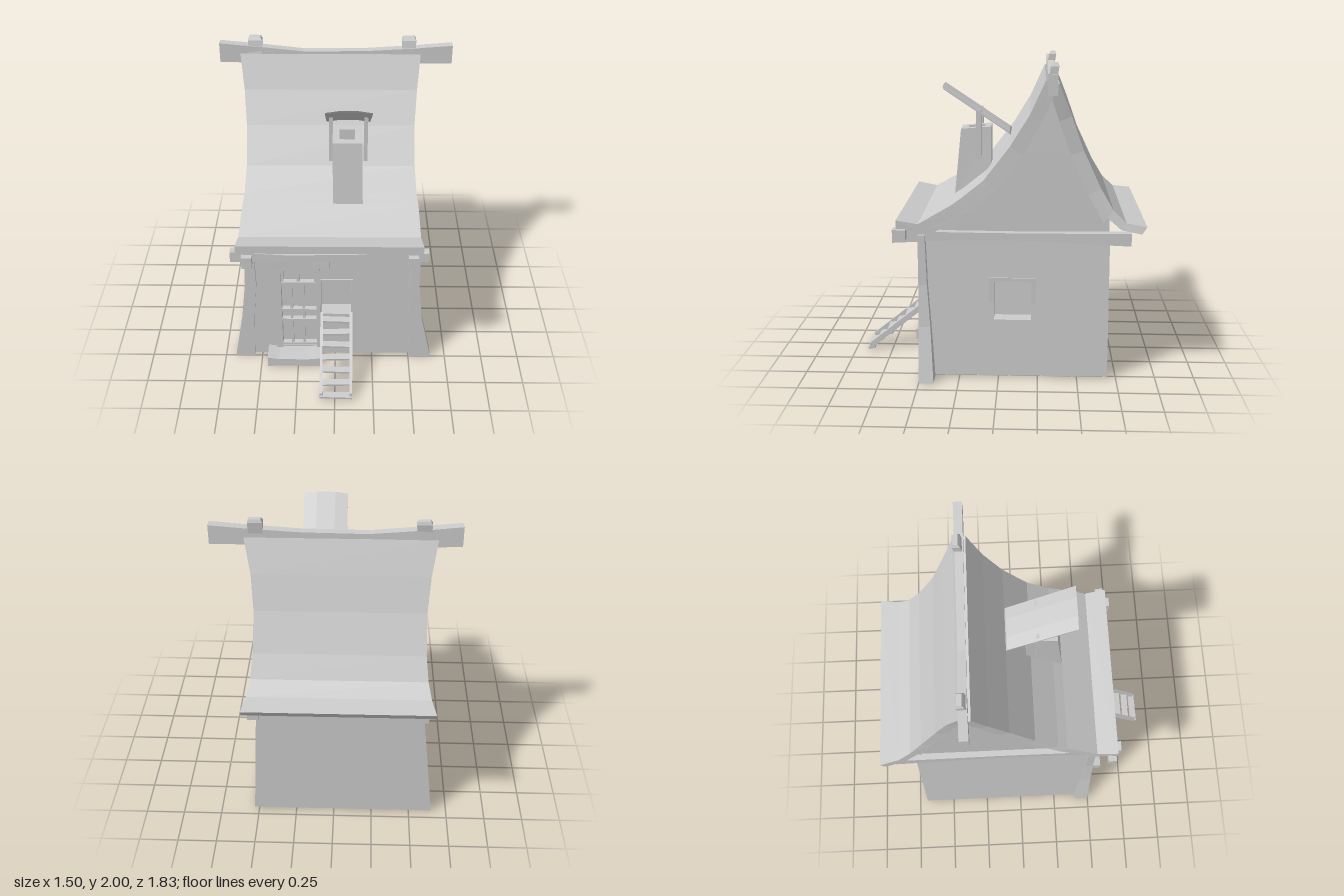
import * as THREE from 'three';

const grey = new THREE.MeshStandardMaterial({ color: 0xcccccc, flatShading: true });
const thin = new THREE.MeshStandardMaterial({ color: 0xcccccc, flatShading: true, side: THREE.DoubleSide });

export function createModel() {
  const model = new THREE.Group();

  function add(name, geometry, material = grey) {
    const mesh = new THREE.Mesh(geometry, material);
    mesh.name = name;
    model.add(mesh);
    return mesh;
  }

  // Closed solid through four-cornered cross-sections, turned outward by its signed volume
  function loft(sections) {
    const tris = [];
    const quad = (a, b, c, d) => tris.push([a, b, c], [a, c, d]);
    for (let i = 0; i < sections.length - 1; i++) {
      const s = sections[i], t = sections[i + 1];
      for (let j = 0; j < 4; j++) {
        const k = (j + 1) % 4;
        quad(s[j], s[k], t[k], t[j]);
      }
    }
    const first = sections[0], last = sections[sections.length - 1];
    quad(first[3], first[2], first[1], first[0]);
    quad(...last);
    let volume = 0;
    for (const [a, b, c] of tris) {
      volume += new THREE.Vector3(...a).dot(new THREE.Vector3(...b).cross(new THREE.Vector3(...c)));
    }
    const points = tris.flatMap(([a, b, c]) => (volume < 0 ? [a, c, b] : [a, b, c])).flat();
    const geometry = new THREE.BufferGeometry();
    geometry.setAttribute('position', new THREE.Float32BufferAttribute(points, 3));
    geometry.computeVertexNormals();
    return geometry;
  }

  // Beam along an axis; stations: [along, a, b, halfA, halfB], a and b being the other axes in xyz order
  function beam(name, axis, stations) {
    const place = { x: (t, a, b) => [t, a, b], y: (t, a, b) => [a, t, b], z: (t, a, b) => [a, b, t] }[axis];
    return add(name, loft(stations.map(([t, a, b, ha, hb]) => [
      place(t, a - ha, b - hb), place(t, a + ha, b - hb),
      place(t, a + ha, b + hb), place(t, a - ha, b + hb)])));
  }

  // Box from its minimum and maximum corners
  function boxGeometry(x0, x1, y0, y1, z0, z1) {
    const g = new THREE.BoxGeometry(x1 - x0, y1 - y0, z1 - z0);
    return g.translate((x0 + x1) / 2, (y0 + y1) / 2, (z0 + z1) / 2);
  }
  const box = (name, ...corners) => add(name, boxGeometry(...corners));

  // Niche behind an opening: a box without its outer face (0 is +x, 4 is +z)
  function niche(openFace, ...corners) {
    const g = boxGeometry(...corners);
    g.setIndex([...g.index.array].filter((_, i) => Math.floor(i / 6) !== openFace));
    g.clearGroups();
    return g;
  }

  function wallShape(corners, holes) {
    const shape = new THREE.Shape(corners.map(p => new THREE.Vector2(...p)));
    for (const [x0, x1, y0, y1] of holes) {
      shape.holes.push(new THREE.Path([[x0, y0], [x0, y1], [x1, y1], [x1, y0]].map(p => new THREE.Vector2(...p))));
    }
    return new THREE.ShapeGeometry(shape);
  }

  // House walls: slightly flared toward the ground
  const top = 0.92, front = 0.48, back = -0.695;
  const leftX = y => 0.53 - 0.055 * y;
  function leanOnWall(geometry) {
    const p = geometry.attributes.position;
    for (let i = 0; i < p.count; i++) p.setX(i, p.getX(i) + leftX(p.getY(i)));
    return geometry;
  }
  const door = [-0.355, -0.125, 0.08, 0.735], hatch = [-0.09, 0.105, 0.36, 0.645], side = [-0.03, 0.205, 0.38, 0.63];
  add('frontWall', wallShape([[-0.65, 0.01], [0.53, 0.01], [leftX(top), top], [-0.555, top]], [door, hatch])
    .translate(0, 0, front), thin);
  add('windowWall', leanOnWall(wallShape([[-front, 0.01], [-back, 0.01], [-back, top], [-front, top]], [side])
    .rotateY(Math.PI / 2)), thin);
  const A = [-0.65, 0.01, front], B = [0.53, 0.01, front], C = [0.53, 0.01, back], D = [-0.65, 0.01, back];
  const E = [-0.555, top, front], F = [leftX(top), top, back], G = [-0.555, top, back];
  const plain = new THREE.BufferGeometry();
  plain.setAttribute('position', new THREE.Float32BufferAttribute(
    [[D, A, E], [D, E, G], [C, D, G], [C, G, F], [A, D, C], [A, C, B]].flat(2), 3));
  plain.computeVertexNormals();
  add('plainWallsAndFloor', plain, thin);

  // Openings
  add('doorRecess', niche(4, ...door, front - 0.04, front), thin);
  add('hatchRecess', niche(4, ...hatch, front - 0.1, front), thin);
  add('windowRecess', leanOnWall(niche(0, -0.1, 0, 0.38, 0.63, -0.205, 0.03)), thin);

  // Roof stations: [outer z, outer y, inner z, inner y, x min, x max]
  const frontSlope = [
    [0.635, 1.035, 0.635, 0.98, -0.62, 0.55], [0.5, 1.01, 0.49, 0.955, -0.61, 0.54],
    [0.3, 1.125, 0.27, 1.07, -0.595, 0.53], [0.24, 1.165, 0.2, 1.115, -0.585, 0.52],
    [0.09, 1.285, 0.045, 1.245, -0.578, 0.512], [-0.07, 1.495, -0.115, 1.46, -0.58, 0.51],
    [-0.19, 1.69, -0.235, 1.665, -0.595, 0.525], [-0.285, 1.9, -0.325, 1.875, -0.62, 0.545]];
  const backSlope = [
    [-0.365, 1.88, -0.325, 1.87, -0.61, 0.54], [-0.445, 1.68, -0.4, 1.66, -0.575, 0.5],
    [-0.52, 1.47, -0.475, 1.45, -0.557, 0.485], [-0.63, 1.235, -0.585, 1.21, -0.56, 0.49],
    [-0.71, 1.1, -0.675, 1.05, -0.575, 0.505], [-0.79, 1.025, -0.76, 0.98, -0.595, 0.525],
    [-0.915, 1.008, -0.885, 0.96, -0.62, 0.55]];
  const slab = stations => loft(stations.map(([zo, yo, zi, yi, x0, x1]) =>
    [[x0, yo, zo], [x1, yo, zo], [x1, yi, zi], [x0, yi, zi]]));
  add('frontRoof', slab(frontSlope));
  add('backRoof', slab(backSlope));

  // Curved rafters under both roof edges
  for (const slope of [frontSlope.slice(1), backSlope.slice(0, 5)]) {
    for (const onLeft of [true, false]) {
      add('edgeRafter', slab(slope.map(([zo, yo, zi, yi, x0, x1]) => {
        const x = onLeft ? x1 - 0.04 : x0 + 0.01;
        return [zi, yi, zi + (zi - zo) * 0.7, yi + (yi - yo) * 0.7, x, x + 0.03];
      })));
    }
  }

  // Gable block under the roof
  const inner = [...frontSlope.slice(1), ...backSlope.slice(1, 5)].map(s => [-s[2], s[3]]);
  const gable = new THREE.Shape([[-front, 0.9], ...inner, [0.69, 1.03], [0.69, 0.9]].map(p => new THREE.Vector2(...p)));
  add('gable', new THREE.ExtrudeGeometry(gable, { depth: 1.005, bevelEnabled: false })
    .rotateY(Math.PI / 2).translate(-0.54, 0, 0));

  // Ridge beam, pegs and eave beams
  beam('ridgeBeam', 'x', [[-0.755, 1.9, -0.325, 0.066, 0.028], [-0.5, 1.885, -0.33, 0.055, 0.027],
    [-0.2, 1.865, -0.325, 0.045, 0.025], [0.2, 1.87, -0.325, 0.045, 0.025],
    [0.5, 1.882, -0.325, 0.052, 0.027], [0.75, 1.893, -0.325, 0.062, 0.028]]);
  for (const x of [-0.525, 0.47]) {
    beam('ridgePeg', 'y', [[1.8, x, -0.31, 0.04, 0.025], [1.98, x, -0.339, 0.045, 0.025], [2, x, -0.343, 0.035, 0.015]]);
  }
  beam('frontEaveBeam', 'x', [[-0.655, 0.945, 0.6, 0.037, 0.027], [-0.3, 0.938, 0.605, 0.026, 0.025],
    [0.1, 0.945, 0.605, 0.025, 0.025], [0.585, 0.948, 0.6, 0.033, 0.027]]);
  for (const x of [-0.55, 0.488]) {
    beam('sideBeam', 'z', [[0.665, x, 0.925, 0.032, 0.042], [0.3, x, 0.928, 0.03, 0.026],
      [-0.1, x, 0.928, 0.028, 0.023], [-0.825, x, 0.915, 0.034, 0.04]]);
  }
  for (const x of [-0.465, 0.003, 0.365]) box('joistEnd', x - 0.02, x + 0.02, 0.82, 0.925, 0.44, 0.505);

  // Flared corner posts
  beam('rightCornerPost', 'y', [[0, -0.617, 0.453, 0.064, 0.047], [0.35, -0.58, 0.465, 0.041, 0.037],
    [0.62, -0.553, 0.475, 0.037, 0.027], [0.94, -0.552, 0.48, 0.029, 0.022]]);
  beam('leftCornerPost', 'y', [[0, 0.577, 0.453, 0.075, 0.047], [0.35, 0.533, 0.465, 0.043, 0.037],
    [0.62, 0.518, 0.475, 0.032, 0.027], [0.94, 0.522, 0.48, 0.024, 0.022]]);

  // Door: frame, bars, lintel and step
  box('doorFrame', -0.395, -0.355, 0.07, 0.78, 0.45, 0.497);
  box('doorFrame', -0.125, -0.1, 0.07, 0.78, 0.45, 0.497);
  box('doorFrame', -0.355, -0.125, 0.735, 0.78, 0.45, 0.497);
  for (const y of [0.085, 0.3, 0.385, 0.615]) box('doorRail', -0.355, -0.125, y - 0.009, y + 0.009, 0.44, 0.475);
  for (const x of [-0.29, -0.21]) box('doorBar', x - 0.008, x + 0.008, 0.08, 0.615, 0.44, 0.468);
  for (const x of [-0.35, -0.243, -0.13]) box('paneFrame', x - 0.01, x + 0.01, 0.615, 0.735, 0.44, 0.468);
  beam('doorLintel', 'x', [[-0.43, 0.807, 0.495, 0.036, 0.026], [-0.3, 0.802, 0.495, 0.03, 0.022],
    [-0.15, 0.805, 0.495, 0.03, 0.022], [-0.035, 0.81, 0.495, 0.036, 0.026]]);
  beam('doorStep', 'x', [[-0.455, 0.042, 0.54, 0.038, 0.07], [-0.38, 0.037, 0.54, 0.03, 0.07],
    [-0.18, 0.037, 0.54, 0.03, 0.07], [-0.095, 0.04, 0.54, 0.036, 0.07]]);

  // Trim around the hatch, and an upright window frame that sinks into the leaning wall
  box('hatchTrim', -0.095, 0.115, 0.645, 0.658, 0.47, 0.49);
  box('hatchTrim', 0.105, 0.115, 0.36, 0.645, 0.47, 0.49);
  box('windowFrame', 0.42, 0.503, 0.63, 0.655, -0.235, 0.06);
  for (const z of [-0.235, 0.03]) box('windowFrame', 0.42, 0.503, 0.38, 0.63, z, z + 0.03);

  // Ladder leaning on the hatch
  for (const x of [-0.09, 0.105]) {
    beam('ladderRail', 'z', [[0.905, x, 0.025, 0.009, 0.023], [0.49, x, 0.36, 0.009, 0.023]]);
  }
  for (let i = 0; i < 7; i++) {
    const t = i / 6.4;
    const rung = add('ladderRung', new THREE.BoxGeometry(0.21, 0.014, 0.045));
    rung.position.set(0.008, 0.02 + 0.338 * t, 0.893 - 0.405 * t);
    rung.rotation.set(0.12, 0, i % 2 ? 0.04 : -0.04);
  }

  // Hollow chimney with a bowed, tilted cover on two struts
  const ring = (x0, x1, zf, yf, zb, yb) => [[x0, yf, zf], [x1, yf, zf], [x1, yb, zb], [x0, yb, zb]];
  add('chimney', loft([ring(-0.015, 0.175, 0.3, 1.1, 0.06, 1.25), ring(-0.02, 0.165, 0.255, 1.55, 0.06, 1.565),
    ring(0.025, 0.12, 0.21, 1.553, 0.105, 1.562), ring(0.025, 0.12, 0.21, 1.4, 0.105, 1.4)]));
  add('chimneyCover', loft([[-0.062, 0], [0.02, 0.013], [0.14, 0.013], [0.222, 0]].map(([x, rise]) => [
    [x, 1.806 + rise, 0.355], [x, 1.822 + rise, 0.365], [x, 1.538 + rise, -0.06], [x, 1.522 + rise, -0.068]])));
  for (const x of [-0.03, 0.19]) box('coverStrut', x - 0.012, x + 0.012, 1.36, 1.675, 0.12, 0.155);

  return model;
}
